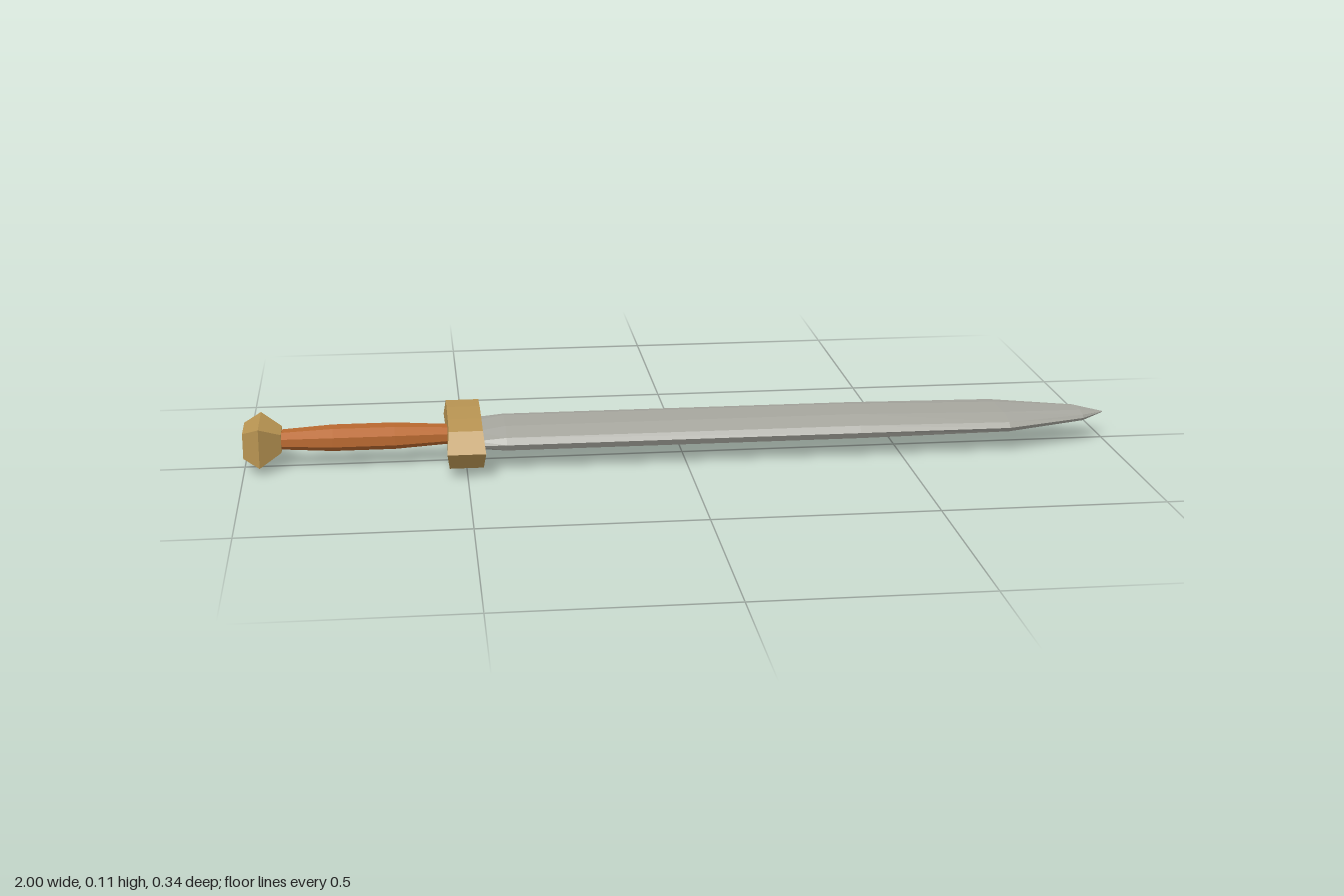
import * as THREE from 'three';

const MID = 0.0625; // height of the sword's long axis

// Flat shaded skin over rings of [x, y, z] points, listed from -x to +x, closed at both ends
function loft(rings) {
  const pos = [];
  const tri = (a, b, c) => pos.push(...a, ...b, ...c);
  const n = rings[0].length;
  const centre = (r) => [0, 1, 2].map((k) => r.reduce((s, p) => s + p[k], 0) / n);
  const first = rings[0], last = rings[rings.length - 1];
  const c0 = centre(first), c1 = centre(last);
  for (let j = 0; j < n; j++) {
    const k = (j + 1) % n;
    for (let i = 0; i < rings.length - 1; i++) {
      const a = rings[i], b = rings[i + 1];
      tri(a[j], a[k], b[k]);
      tri(a[j], b[k], b[j]);
    }
    tri(c0, first[k], first[j]);
    tri(c1, last[j], last[k]);
  }
  const geo = new THREE.BufferGeometry();
  geo.setAttribute('position', new THREE.Float32BufferAttribute(pos, 3));
  geo.computeVertexNormals();
  return geo;
}

// Unit cross-sections as [z, y], counterclockwise seen from +x
function tenSided(cornerZ, cornerY, flatZ) {
  const top = [[-cornerZ, cornerY], [-flatZ, 1], [flatZ, 1], [cornerZ, cornerY]];
  return [[-1, 0], ...top, [1, 0], ...top.map(([z, y]) => [-z, -y])];
}
const OCTAGON = [[-1, -0.42], [-1, 0.42], [-0.45, 1], [0.45, 1], [1, 0.42], [1, -0.42], [0.45, -1], [-0.45, -1]];
const BLOCK = [[-1, -1], [-1, 1], [1, 1], [1, -1]];

// Scale a cross-section to each [x, half width, half height]
const sections = (shape, list) =>
  loft(list.map(([x, w, h]) => shape.map(([z, y]) => [x, MID + y * h, z * w])));

export function createModel() {
  const material = (name, color) => {
    const m = new THREE.MeshStandardMaterial({ color, flatShading: true });
    m.name = name;
    return m;
  };
  const steel = material('steel', 0xa6a69e);
  const brass = material('brass', 0xb89452);
  const leather = material('leather', 0xb8682f);
  const ruby = material('ruby', 0x8f1014);

  const sword = new THREE.Group();
  sword.name = 'sword';
  const add = (name, geometry, mat) => {
    const mesh = new THREE.Mesh(geometry, mat);
    mesh.name = name;
    sword.add(mesh);
    return mesh;
  };

  // Broad blade narrowing to a point
  add('blade', sections(tenSided(0.91, 0.55, 0.41), [
    [-0.48, 0.108, 0.016], [-0.41, 0.11, 0.027], [0.4, 0.11, 0.027],
    [0.75, 0.11, 0.02], [0.94, 0.05, 0.012], [1, 0.002, 0.001],
  ]), steel);

  // Crossguard, a little wider toward its pointed ends
  const guardShape = tenSided(0.772, 0.875, 0.3);
  add('guard', loft([-1, 1].map((side) => guardShape.map(([z, y]) => {
    const half = Math.abs(z) > 0.9 ? 0.043 : 0.038;
    return [-0.502 + side * half, MID + y * 0.049, z * 0.172];
  }))), brass);

  // Grip, swelling in the middle
  add('grip', sections(OCTAGON, [
    [-0.925, 0.031, 0.019], [-0.8, 0.042, 0.026], [-0.66, 0.042, 0.026], [-0.53, 0.031, 0.019],
  ]), leather);

  // Flared pommel
  add('pommel', sections(BLOCK, [
    [-1, 0.047, 0.029], [-0.963, 0.076, 0.045], [-0.915, 0.037, 0.021],
  ]), brass);

  // Gem set under the guard
  const gem = add('gem', new THREE.CylinderGeometry(0.036, 0.028, 0.016, 8), ruby);
  gem.position.set(-0.502, 0.008, 0);
  gem.rotation.y = Math.PI / 8;

  return sword;
}
